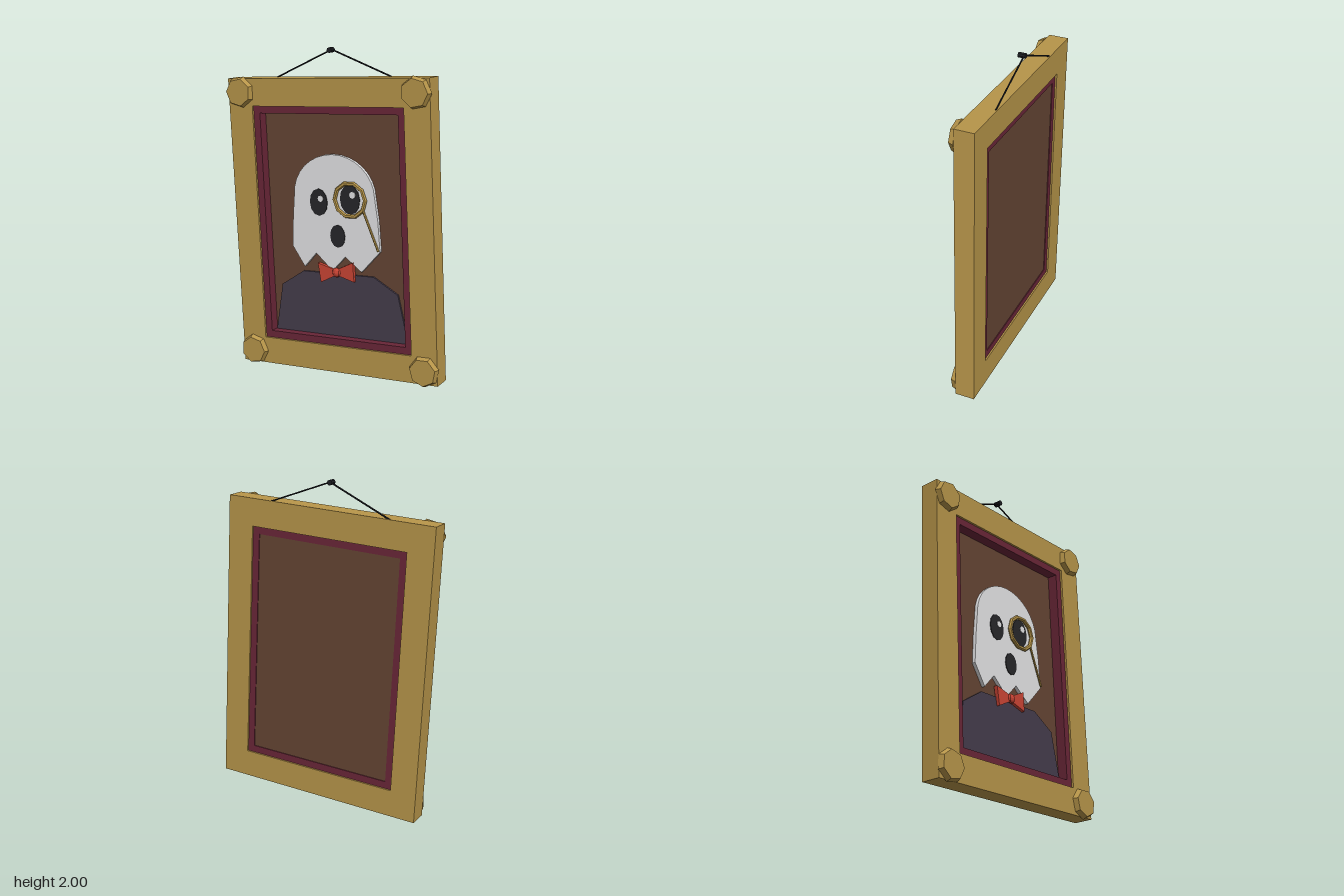
import * as THREE from 'three';

const paint = (name, color) => {
  const m = new THREE.MeshStandardMaterial({ color, flatShading: true });
  m.name = name;
  return m;
};

export function createModel() {
  const gold = paint('gold', 0xb8964a);
  const maroon = paint('maroon', 0x6a2638);
  const brown = paint('canvas brown', 0x654534);
  const white = paint('ghost white', 0xe8e8ea);
  const black = paint('black', 0x27272a);
  const wireBlack = paint('wire black', 0x1c1e22);
  const suitGrey = paint('suit grey', 0x453d4c);
  const red = paint('bow red', 0xcc4535);

  const model = new THREE.Group();
  model.name = 'ghostPortrait';
  // the whole picture hangs slightly crooked
  const picture = new THREE.Group();
  picture.name = 'crookedPicture';
  picture.position.y = 0.937;
  picture.rotation.z = 0.05;
  model.add(picture);

  const add = (name, geometry, material, x = 0, y = 0, z = 0) => {
    const mesh = new THREE.Mesh(geometry, material);
    mesh.name = name;
    mesh.position.set(x, y, z);
    picture.add(mesh);
    return mesh;
  };
  const polygon = (pts) => new THREE.Shape(pts.map(([x, y]) => new THREE.Vector2(x, y)));
  const rect = (w, h) => polygon([[-w / 2, -h / 2], [w / 2, -h / 2], [w / 2, h / 2], [-w / 2, h / 2]]);
  const slab = (name, shape, z0, z1, material) =>
    add(name, new THREE.ExtrudeGeometry(shape, { depth: z1 - z0, bevelEnabled: false }), material, 0, 0, z0);
  const border = (name, w, h, iw, ih, z0, z1, material) => {
    const shape = rect(w, h);
    shape.holes.push(rect(iw, ih));
    return slab(name, shape, z0, z1, material);
  };
  // flat oval plate facing the front
  const oval = (name, x, y, z, rx, ry, material, sides = 12) => {
    const mesh = add(name, new THREE.CylinderGeometry(1, 1, 1, sides).rotateX(Math.PI / 2), material, x, y, z);
    mesh.scale.set(rx, ry, 0.006);
  };
  // thin straight rod between two points
  const rod = (name, a, b, radius, material) => {
    const p = new THREE.Vector3(...a), q = new THREE.Vector3(...b);
    const mesh = add(name, new THREE.CylinderGeometry(radius, radius, p.distanceTo(q), 6), material);
    mesh.position.copy(p).add(q).multiplyScalar(0.5);
    mesh.quaternion.setFromUnitVectors(new THREE.Vector3(0, 1, 0), q.sub(p).normalize());
  };

  // frame, inner mat and canvas
  border('frame', 1.333, 1.785, 1.006, 1.452, -0.075, 0.045, gold);
  border('mat', 1.006, 1.452, 0.92, 1.365, -0.065, 0.032, maroon);
  slab('canvas', rect(0.92, 1.365), -0.06, -0.032, brown);

  // seven-sided corner studs, each turned differently
  for (const [sx, sy, degrees] of [[-1, 1, 74], [1, 1, -3], [-1, -1, -3], [1, -1, 13]]) {
    const g = new THREE.CylinderGeometry(0.083, 0.096, 0.032, 7).rotateX(Math.PI / 2);
    const stud = add('cornerStud', g, gold, sx * 0.583, sy * 0.811, 0.059);
    stud.rotation.z = THREE.MathUtils.degToRad(degrees + 90);
  }

  // suit shoulders
  slab('suit', polygon([[-0.455, -0.682], [0.455, -0.682], [0.397, -0.387], [0.24, -0.29],
    [-0.24, -0.29], [-0.397, -0.387]]), -0.032, -0.02, suitGrey);

  // ghost: domed sheet with a ragged hem
  const outline = [[-0.302, -0.132], [-0.223, -0.258], [-0.138, -0.168], [-0.03, -0.27],
    [0.061, -0.178], [0.167, -0.264], [0.295, -0.132], [0.288, 0.05]];
  for (let i = 0; i <= 16; i++) {
    const a = (i / 16) * Math.PI;
    outline.push([0.272 * Math.cos(a), 0.19 + 0.249 * Math.sin(a)]);
  }
  outline.push([-0.288, 0.05]);
  slab('ghost', polygon(outline), -0.032, -0.01, white);

  // face
  oval('rightEye', -0.103, 0.148, -0.008, 0.06, 0.083, black);
  oval('leftEye', 0.11, 0.174, -0.008, 0.066, 0.09, black);
  oval('mouth', 0.017, -0.053, -0.008, 0.05, 0.07, black);
  oval('rightEyeGlint', -0.087, 0.171, -0.004, 0.019, 0.019, white, 8);
  oval('leftEyeGlint', 0.13, 0.203, -0.004, 0.021, 0.021, white, 8);

  // monocle and its chain
  add('monocle', new THREE.TorusGeometry(0.102, 0.013, 6, 10), gold, 0.113, 0.173, 0);
  rod('monocleChain', [0.2, 0.11, 0], [0.289, -0.127, 0], 0.007, gold);

  // bow tie
  for (const s of [-1, 1]) {
    const wing = polygon([[0, -0.016], [s * 0.114, -0.06], [s * 0.12, 0.06], [0, 0.016]]);
    const mesh = slab('bowWing', wing, -0.025, 0, red);
    mesh.position.y = -0.277;
    mesh.rotation.z = 0.08;
  }
  const knot = add('bowKnot', new THREE.SphereGeometry(0.03, 8, 6), red, 0.001, -0.277, -0.003);
  knot.scale.z = 0.6;

  // hanging wire and nail
  for (const s of [-1, 1]) {
    rod('hangingWire', [s * 0.383, 0.89, -0.065], [0, 1.05, -0.065], 0.005, wireBlack);
  }
  add('nail', new THREE.CylinderGeometry(0.016, 0.016, 0.044, 8).rotateX(Math.PI / 2), wireBlack, 0, 1.048, -0.053);

  return model;
}
